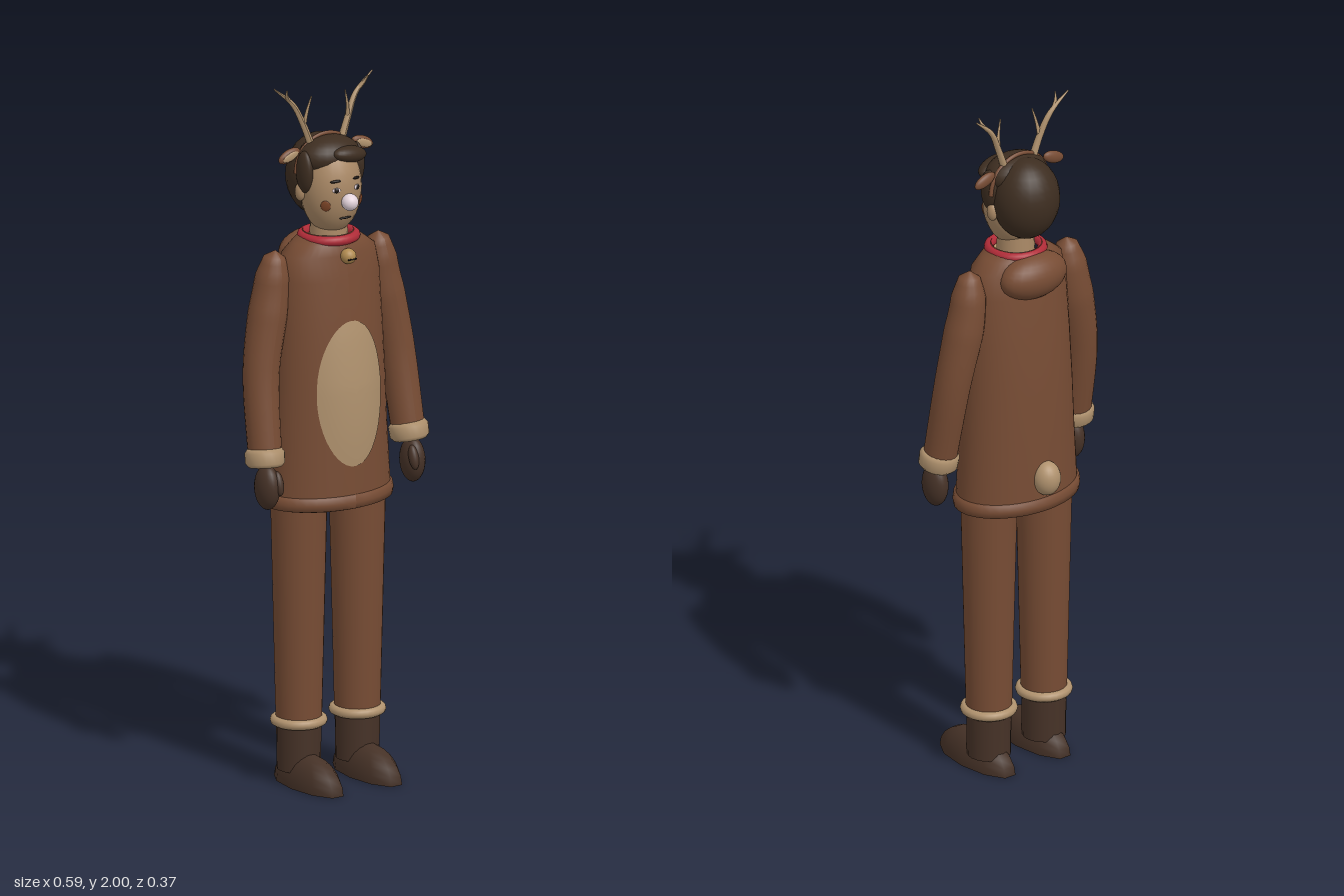
import * as THREE from 'three';

const material = (name, color) => {
  const m = new THREE.MeshStandardMaterial({ color });
  m.name = name;
  return m;
};
const suit = material('suit brown', 0x774c34);
const cream = material('cream fur', 0xb0926e);
const skin = material('skin', 0xa98865);
const hair = material('dark hair', 0x3d2d20);
const leather = material('boot leather', 0x463227);
const red = material('collar red', 0xb02c38);
const pale = material('pale nose', 0xe4d4dc);
const ink = material('ink', 0x1c1512);
const blush = material('cheek brown', 0x7d4527);
const brass = material('bell brass', 0xb08a50);

// Torso sections: height, half width, half depth
const TORSO_Z = -0.013;
const TORSO = [
  [0.8, 0.001, 0.001], [0.801, 0.188, 0.131], [0.84, 0.188, 0.131], [1.0, 0.178, 0.128],
  [1.15, 0.172, 0.124], [1.3, 0.165, 0.115], [1.45, 0.158, 0.1], [1.52, 0.145, 0.089],
  [1.55, 0.105, 0.082], [1.575, 0.07, 0.07],
];

// Piecewise linear lookup in rows sorted by their first value
function lookup(rows, t, column) {
  let i = 1;
  while (i < rows.length - 1 && rows[i][0] < t) i++;
  const [a, b] = [rows[i - 1], rows[i]];
  const k = THREE.MathUtils.clamp((t - a[0]) / (b[0] - a[0]), 0, 1);
  return a[column] + (b[column] - a[column]) * k;
}

// Lathe with a different width and depth at each section
function ellipticLathe(rows) {
  const geo = new THREE.LatheGeometry(rows.map(([y, rx]) => new THREE.Vector2(rx, y)), 40);
  const p = geo.attributes.position;
  for (let i = 0; i < p.count; i++) {
    const [, rx, rz] = rows[i % rows.length];
    p.setZ(i, p.getZ(i) * rz / rx);
  }
  geo.computeVertexNormals();
  return geo;
}

// Tube whose radius follows [t, radius] rows
function taperTube(points, radii, segments, sides) {
  const curve = new THREE.CatmullRomCurve3(points.map((p) => new THREE.Vector3(...p)));
  const geo = new THREE.TubeGeometry(curve, segments, 1, sides);
  const p = geo.attributes.position, v = new THREE.Vector3();
  for (let i = 0; i < p.count; i++) {
    const t = Math.floor(i / (sides + 1)) / segments;
    const c = curve.getPointAt(t);
    v.fromBufferAttribute(p, i).sub(c).multiplyScalar(lookup(radii, t, 1)).add(c);
    p.setXYZ(i, v.x, v.y, v.z);
  }
  geo.computeVertexNormals();
  return geo;
}

export function createModel() {
  const root = new THREE.Group();
  root.name = 'reindeerCostumeFigure';

  const add = (name, geo, mat, pos = [0, 0, 0], rot = [0, 0, 0], scale = [1, 1, 1]) => {
    const mesh = new THREE.Mesh(geo, mat);
    mesh.name = name;
    mesh.position.set(...pos);
    mesh.rotation.set(...rot);
    mesh.scale.set(...scale);
    root.add(mesh);
    return mesh;
  };
  const unitBall = new THREE.SphereGeometry(1, 24, 16);
  const ball = (name, mat, pos, radii, rot) => add(name, unitBall, mat, pos, rot, radii);

  // Tunic, hem band and belly patch
  add('tunic', ellipticLathe(TORSO), suit, [0, 0, TORSO_Z]);
  add('hem', ellipticLathe([
    [0.802, 0.18, 0.125], [0.803, 0.195, 0.136], [0.82, 0.198, 0.138], [0.838, 0.195, 0.136], [0.845, 0.18, 0.125],
  ]), suit, [0, 0, TORSO_Z]);
  const belly = new THREE.RingGeometry(0.001, 1, 48, 8);
  const bp = belly.attributes.position;
  for (let i = 0; i < bp.count; i++) {
    const r2 = bp.getX(i) ** 2 + bp.getY(i) ** 2;
    const x = bp.getX(i) * 0.107, y = 1.13 + bp.getY(i) * 0.207;
    const z = lookup(TORSO, y, 2) * Math.sqrt(1 - (x / lookup(TORSO, y, 1)) ** 2);
    bp.setXYZ(i, x, y, TORSO_Z + z + 0.003 + 0.011 * (1 - r2));
  }
  belly.computeVertexNormals();
  add('bellyPatch', belly, cream);

  // Hood, tail, collar and bell
  ball('hood', suit, [0, 1.5, -0.085], [0.11, 0.066, 0.064]);
  ball('tail', cream, [0, 0.9, -0.145], [0.04, 0.05, 0.04]);
  add('collar', new THREE.TorusGeometry(0.074, 0.014, 10, 32), red, [0, 1.56, -0.01], [Math.PI / 2, 0, 0]);
  ball('bell', brass, [0, 1.52, 0.086], [0.022, 0.022, 0.022]);
  add('bellSlot', new THREE.BoxGeometry(0.026, 0.004, 0.008), ink, [0, 1.515, 0.104]);

  // Head and neck
  const headY = 1.7, headR = [0.087, 0.132, 0.085];
  add('neck', new THREE.CylinderGeometry(0.05, 0.055, 0.1, 20), skin, [0, 1.58, -0.01]);
  ball('head', skin, [0, headY, 0], headR);
  ball('nose', pale, [0, 1.677, 0.094], [0.024, 0.024, 0.024]);

  // Thin marks laid on the face
  const mark = (name, mat, x, y, w, h, lift = 0, tilt = 0) => {
    const z = headR[2] * Math.sqrt(1 - (x / headR[0]) ** 2 - ((y - headY) / headR[1]) ** 2);
    const normal = new THREE.Vector3(x / headR[0] ** 2, (y - headY) / headR[1] ** 2, z / headR[2] ** 2).normalize();
    const m = ball(name, mat, [x, y, z], [w, h, 0.004]);
    m.position.addScaledVector(normal, lift);
    m.lookAt(m.position.clone().add(normal));
    m.rotateZ(tilt);
  };
  mark('mouth', ink, 0, 1.627, 0.02, 0.003);

  // Hair
  ball('backHair', hair, [0, 1.725, -0.055], [0.096, 0.118, 0.093]);
  ball('topHair', hair, [0, 1.79, -0.01], [0.094, 0.055, 0.07]);
  ball('fringe', hair, [0.032, 1.798, 0.043], [0.06, 0.024, 0.03], [0, 0.15, -0.15]);
  add('headband', new THREE.TorusGeometry(0.1, 0.006, 8, 32, Math.PI), suit, [0, 1.748, -0.025]);

  // Foot: half ellipsoid closed with a flat sole
  const footDome = new THREE.SphereGeometry(1, 10, 6, Math.PI / 2, Math.PI * 2, 0, Math.PI / 2);
  footDome.rotateY(Math.PI / 2);
  const sole = new THREE.CircleGeometry(1, 10);
  sole.rotateZ(Math.PI / 2).rotateX(Math.PI / 2);

  for (const s of [1, -1]) {
    const side = s > 0 ? 'left' : 'right';
    const path = (pts) => pts.map(([x, y, z]) => [s * x, y, z]);

    // Face and side hair
    mark(side + 'Eye', pale, s * 0.034, 1.712, 0.012, 0.007);
    mark(side + 'Pupil', ink, s * 0.034, 1.712, 0.007, 0.007, 0.002);
    mark(side + 'Brow', ink, s * 0.035, 1.737, 0.016, 0.004, 0, s * -0.1);
    mark(side + 'Cheek', blush, s * 0.058, 1.667, 0.014, 0.016);
    ball(side + 'Sideburn', hair, [s * 0.086, 1.755, -0.002], [0.019, 0.06, 0.032]);
    ball(side + 'HumanEar', skin, [s * 0.09, 1.695, -0.018], [0.014, 0.026, 0.017]);

    // Deer ear with cream lining
    ball(side + 'DeerEar', suit, [s * 0.122, 1.802, -0.025], [0.037, 0.018, 0.012], [0, 0, s * -0.35]);
    ball(side + 'EarLining', cream, [s * 0.123, 1.801, -0.015], [0.027, 0.011, 0.004], [0, 0, s * -0.35]);

    // Antler: main beam and tines
    const beam = [[0, 0.011], [0.6, 0.008], [1, 0.002]];
    const tine = [[0, 0.007], [1, 0.002]];
    add(side + 'AntlerBeam', taperTube(path([
      [0.05, 1.82, -0.022], [0.075, 1.885, -0.025], [0.105, 1.945, -0.032], [0.165, 1.998, -0.038],
    ]), beam, 16, 8), cream);
    add(side + 'AntlerInnerTine', taperTube(path([
      [0.073, 1.88, -0.025], [0.068, 1.92, -0.018], [0.056, 1.967, -0.012],
    ]), tine, 8, 6), cream);
    add(side + 'AntlerOuterTine', taperTube(path([
      [0.118, 1.958, -0.033], [0.13, 1.975, -0.025], [0.136, 1.995, -0.015],
    ]), tine, 8, 6), cream);

    // Sleeve, cuff and mitten
    add(side + 'Sleeve', taperTube(path([
      [0.172, 1.54, -0.02], [0.185, 1.42, -0.024], [0.226, 1.2, -0.01], [0.24, 0.96, 0.03],
    ]), [[0, 0.001], [0.03, 0.03], [0.12, 0.048], [0.3, 0.056], [0.6, 0.051], [1, 0.047]], 32, 20), suit);
    add(side + 'SleeveCuff', new THREE.LatheGeometry([
      [0.02, -0.026], [0.046, -0.026], [0.055, -0.016], [0.056, 0.014], [0.047, 0.026], [0.02, 0.026],
    ].map((p) => new THREE.Vector2(...p)), 24), cream, [s * 0.241, 0.967, 0.03], [-0.17, 0, s * 0.06]);
    ball(side + 'Mitten', leather, [s * 0.243, 0.885, 0.044], [0.032, 0.064, 0.044]);
    ball(side + 'Thumb', leather, [s * 0.226, 0.9, 0.075], [0.014, 0.035, 0.015], [-0.3, 0, 0]);

    // Trouser leg, fur cuff and boot
    add(side + 'Leg', new THREE.CylinderGeometry(0.08, 0.064, 0.69, 24), suit, [s * 0.098, 0.515, -0.013]);
    add(side + 'BootCuff', new THREE.TorusGeometry(0.066, 0.014, 10, 28), cream, [s * 0.098, 0.18, -0.013], [Math.PI / 2, 0, 0]);
    add(side + 'BootShaft', new THREE.CylinderGeometry(0.063, 0.061, 0.15, 20), leather, [s * 0.098, 0.115, -0.013]);
    add(side + 'Foot', footDome, leather, [s * 0.098, 0, 0.036], [0, 0, 0], [0.06, 0.092, 0.15]);
    add(side + 'Sole', sole, leather, [s * 0.098, 0, 0.036], [0, 0, 0], [0.06, 1, 0.15]);
  }
  return root;
}
